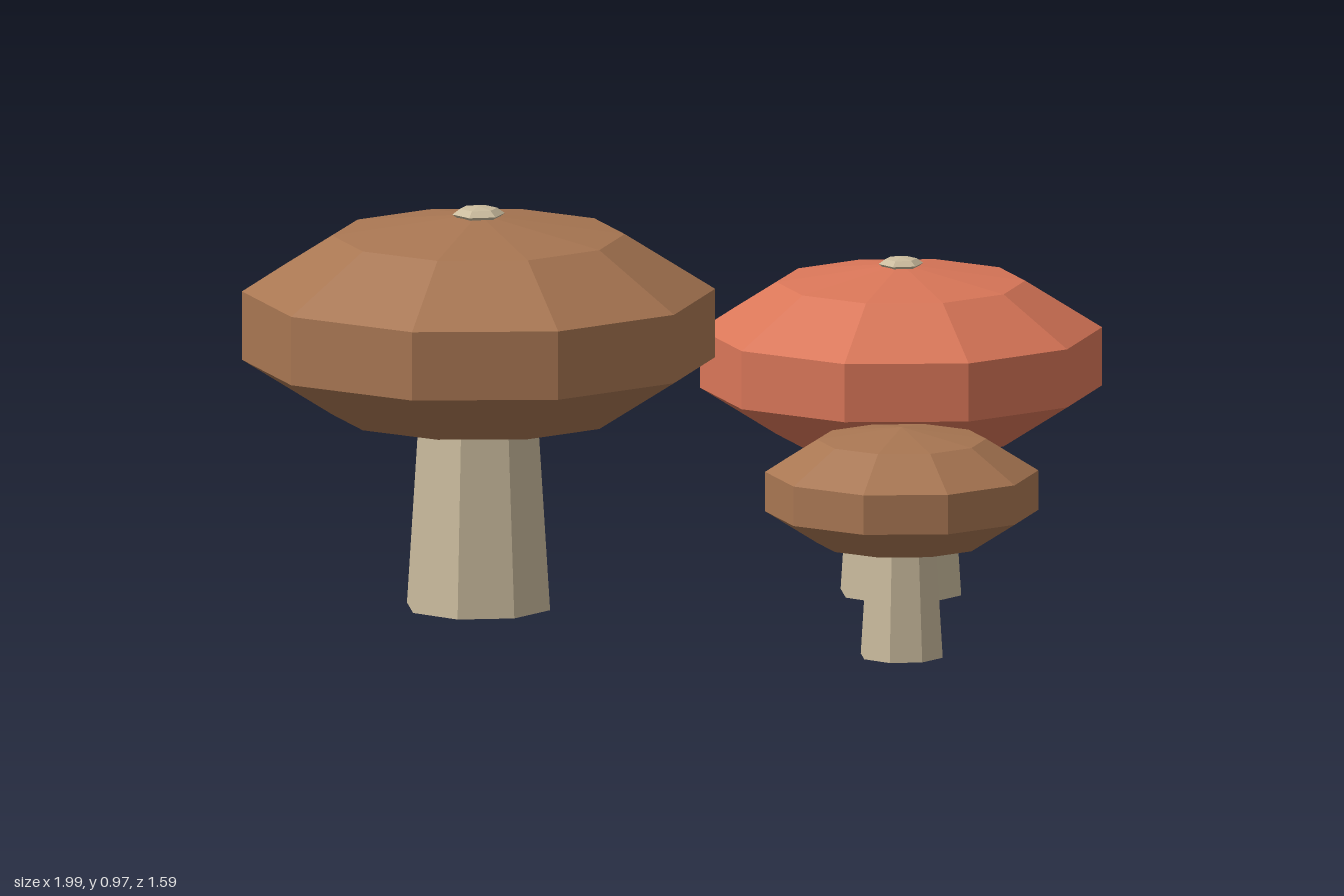
import * as THREE from 'three';

export function createModel() {
  const paint = (name, color) => {
    const m = new THREE.MeshStandardMaterial({ color, flatShading: true });
    m.name = name;
    return m;
  };
  const brown = paint('cap brown', 0xa87652);
  const red = paint('cap red', 0xd97658);
  const cream = paint('stem cream', 0xcabb9d);

  const model = new THREE.Group();
  model.name = 'mushroomCluster';

  function mushroom(name, x, z, size, capY, capColor, stemRadius, hasSpot) {
    const group = new THREE.Group();
    group.name = name;
    group.position.set(x, 0, z);
    const add = (part, geometry, material, y) => {
      const mesh = new THREE.Mesh(geometry, material);
      mesh.name = part;
      mesh.position.y = y;
      group.add(mesh);
      return mesh;
    };

    // Tapered eight-sided stem, ending inside the cap
    const stem = new THREE.CylinderGeometry(stemRadius * 0.75, stemRadius, capY, 8);
    add('stem', stem, cream, capY / 2);

    // Squashed ten-sided cap with a corner towards the front
    const cap = new THREE.SphereGeometry(size, 10, 5);
    cap.rotateY(Math.PI / 2);
    cap.scale(1, 0.452, 1);
    add('cap', cap, capColor, capY);

    // Small flattened knob on the crown
    if (hasSpot) {
      const spot = new THREE.SphereGeometry(size * 0.107, 6, 4);
      spot.rotateY(0.45);
      spot.scale(1, 0.3, 1);
      add('crownSpot', spot, cream, capY + size * 0.452);
    }
    model.add(group);
  }

  mushroom('largeMushroom', -0.46, 0.142, 0.594, 0.685, brown, 0.178, true);
  mushroom('redMushroom', 0.456, -0.317, 0.505, 0.57, red, 0.15, true);
  mushroom('smallMushroom', 0.687, 0.465, 0.343, 0.4, brown, 0.102, false);

  return model;
}
